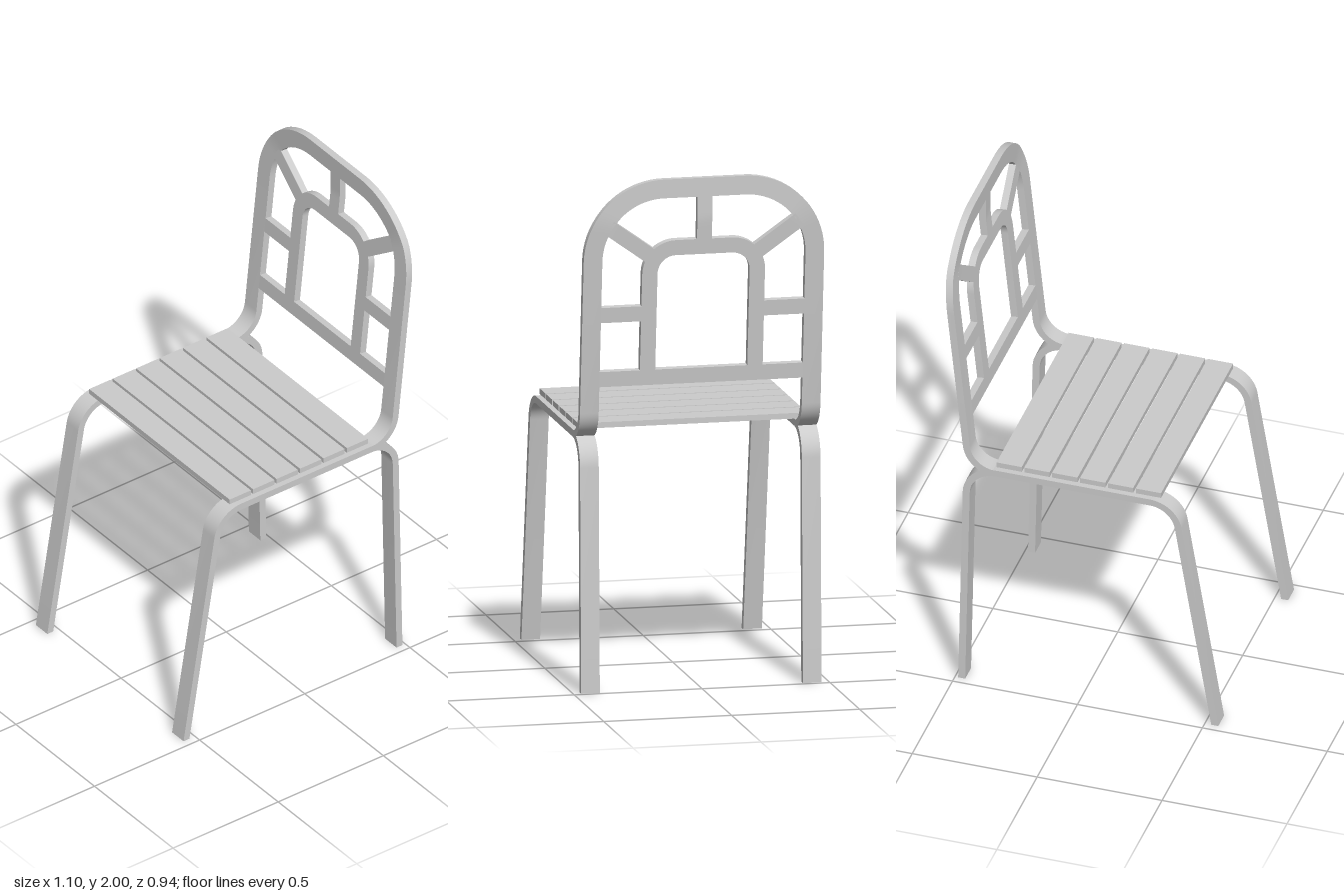
import * as THREE from 'three';
import { toCreasedNormals } from 'three/addons/utils/BufferGeometryUtils.js';

const HALF = 0.014;      // half thickness of the bent strips
const R = 0.115;         // centreline radius of the bends
const TILT = 0.104;      // lean of the backrest
const SEAT = 0.986;      // centreline height of the seat rails
const OUT = 0.47, IN = 0.397; // outer and inner z of the side strips

const material = new THREE.MeshStandardMaterial({ color: 0xcccccc });

// Solid through a row of four-cornered sections, closed at both ends.
function sweep(name, rings) {
  const pos = [];
  const quad = (a, b, c, d) => pos.push(...a, ...b, ...c, ...a, ...c, ...d);
  for (let i = 0; i < rings.length - 1; i++) {
    const r = rings[i], q = rings[i + 1];
    for (let j = 0; j < 4; j++) {
      const k = (j + 1) % 4;
      quad(r[j], r[k], q[k], q[j]);
    }
  }
  const [a, b, c, d] = rings[0];
  quad(d, c, b, a);
  quad(...rings[rings.length - 1]);
  const geo = new THREE.BufferGeometry();
  geo.setAttribute('position', new THREE.Float32BufferAttribute(pos, 3));
  const mesh = new THREE.Mesh(toCreasedNormals(geo, 0.5), material);
  mesh.name = name;
  return mesh;
}

// Corner pair (front, back) at a side-profile point with normal n.
const corner = ({ p, n }, z, s) => [p[0] + n[0] * HALF * s, p[1] + n[1] * HALF * s, z];

// Side profile of the backrest: v is the height, or arc length in the lower bend.
const V_BEND = 1.1 - R * Math.sin(TILT);
const V_START = V_BEND - (Math.PI / 2 - TILT) * R;
function backProfile(v) {
  if (v < V_BEND) {
    const a = -TILT - (V_BEND - v) / R;
    return { p: [0.34 + R * Math.cos(a), 1.1 + R * Math.sin(a)], n: [-Math.cos(a), -Math.sin(a)] };
  }
  const x = 0.34 + R * Math.cos(TILT) + TILT * (Math.min(v, 1.84) - V_BEND);
  const lean = TILT * (1 - THREE.MathUtils.smoothstep(v, 1.81, 1.87));
  return { p: [x, v], n: [-Math.cos(lean), v > 1.99 ? 0 : Math.sin(lean)] };
}

// Strip lying in the backrest surface; a runs on the right of b, points are [z, v].
function ribbon(name, a, b) {
  return sweep(name, a.map((pa, i) => {
    const A = backProfile(pa[1]), B = backProfile(b[i][1]);
    return [corner(A, pa[0], 1), corner(A, pa[0], -1), corner(B, b[i][0], -1), corner(B, b[i][0], 1)];
  }));
}

// Straight bar in the backrest surface.
function bar(name, p0, p1, half, steps = 6) {
  const dz = p1[0] - p0[0], dv = p1[1] - p0[1], len = Math.hypot(dz, dv);
  const side = (s) => Array.from({ length: steps + 1 }, (_, i) => [
    p0[0] + dz * i / steps + s * half * dv / len,
    p0[1] + dv * i / steps - s * half * dz / len]);
  return ribbon(name, side(1), side(-1));
}

// Symmetric arch: side heights, then a corner arc about [cz, cv].
function archLine(heights, cz, cv, r, steps) {
  const half = heights.map((v) => [cz + r, v]);
  for (let i = 0; i <= steps; i++) {
    const t = i / steps * Math.PI / 2;
    half.push([cz + r * Math.cos(t), cv + r * Math.sin(t)]);
  }
  return [...half, ...half.map(([z, v]) => [-z, v]).reverse()];
}

// Front leg, seat rail and rear leg bent from one strip.
function sideFrame(name, z0, z1) {
  const pts = [{ p: [-0.54, 0], n: [-1, 0] }];
  const arc = (cx, from, to) => {
    for (let i = 0; i <= 12; i++) {
      const t = from + (to - from) * i / 12, c = Math.cos(t), s = Math.sin(t);
      pts.push({ p: [cx + R * c, SEAT - R + R * s], n: [c, s] });
    }
  };
  arc(-0.28, Math.PI - 0.164, Math.PI / 2);
  arc(0.34, Math.PI / 2, 0.02);
  pts.push({ p: [0.473, 0], n: [1, 0] });
  return sweep(name, pts.map((q) => [corner(q, z1, 1), corner(q, z1, -1), corner(q, z0, -1), corner(q, z0, 1)]));
}

export function createModel() {
  const chair = new THREE.Group();
  chair.name = 'chair';

  // Legs and seat rails
  chair.add(sideFrame('leftSideFrame', IN, OUT), sideFrame('rightSideFrame', -OUT, -IN));

  // Seat slats
  const seat = new THREE.Group();
  seat.name = 'seat';
  for (let i = 0; i < 6; i++) {
    const slat = new THREE.Mesh(new THREE.BoxGeometry(0.101, 0.022, 0.894), material);
    slat.name = 'seatSlat';
    slat.position.set(-0.267 + i * 0.1115, 1.011, 0);
    seat.add(slat);
  }
  chair.add(seat);

  // Backrest
  const back = new THREE.Group();
  back.name = 'backrest';
  const bend = Array.from({ length: 13 }, (_, i) => V_START + (V_BEND - V_START) * i / 12);
  back.add(ribbon('backRim', archLine(bend, 0.16, 1.69, 0.31, 20), archLine(bend, 0.16, 1.69, IN - 0.16, 20)));
  back.add(ribbon('innerArch', archLine([1.249], 0.11, 1.632, 0.13, 12), archLine([1.249], 0.11, 1.632, 0.07, 12)));
  back.add(bar('lowerCrossBar', [-IN, 1.22], [IN, 1.22], 0.03));
  back.add(bar('topBar', [0, 1.762], [0, 1.927], 0.029, 8));
  for (const s of [1, -1]) {
    const inner = s * 0.24, outer = s * IN;
    back.add(bar('sideBar', [inner, 1.475], [outer, 1.475], 0.03));
    back.add(bar('diagonalBar', [s * 0.205, 1.7], [s * 0.372, 1.821], 0.03, 10));
  }
  chair.add(back);
  return chair;
}
